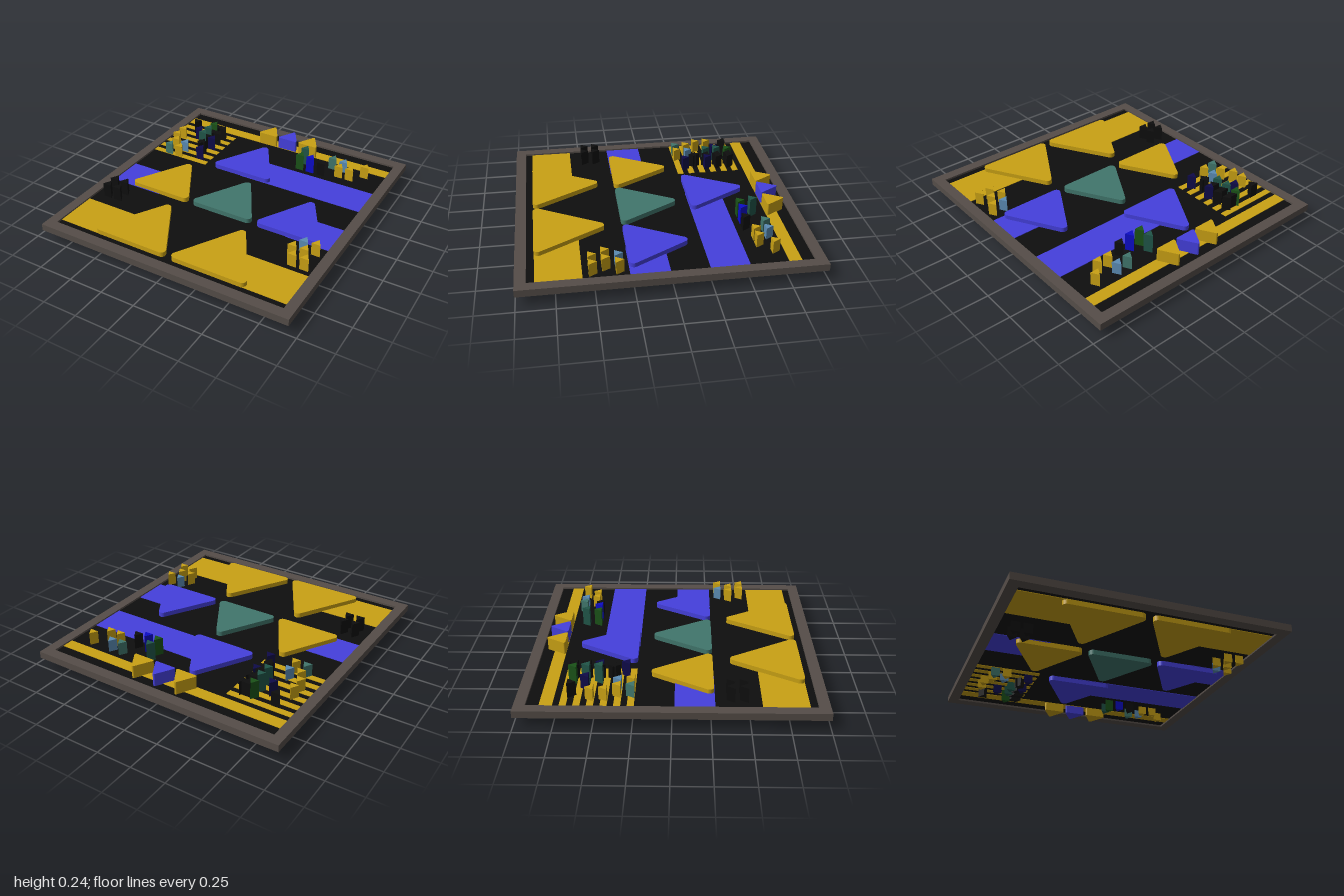
import * as THREE from 'three';

const COLORS = {
  frame: 0x554d48, black: 0x0e0e0e, yellow: 0xc9a114, blue: 0x4540dd, teal: 0x41766c,
  sky: 0x5b8cb4, green: 0x1a5218, pine: 0x205548, royal: 0x0c0cc8, navy: 0x0e0a48,
};
const materials = {};
for (const [name, color] of Object.entries(COLORS)) {
  materials[name] = new THREE.MeshStandardMaterial({ color });
}

export function createModel() {
  const model = new THREE.Group();

  const add = (name, geometry, color) => {
    const mesh = new THREE.Mesh(geometry, materials[color]);
    mesh.name = name;
    model.add(mesh);
    return mesh;
  };

  // Flat block given by its edges
  const block = (name, color, x0, x1, y0, y1, z0, z1) => {
    add(name, new THREE.BoxGeometry(x1 - x0, y1 - y0, z1 - z0), color)
      .position.set((x0 + x1) / 2, (y0 + y1) / 2, (z0 + z1) / 2);
  };

  // Upright prism with a triangular plan; tip toward -z, or +z when flipped
  const prism = (name, color, x, z, width, height, radius, y0, y1, flip = false) => {
    const w = width / 2 - radius, h = height / 2 - radius;
    const shape = new THREE.Shape();
    if (radius > 0) {
      const corners = [[w, -h, -90], [0, h, 30], [-w, -h, 150]];
      for (const [cx, cy, start] of corners) {
        const a = THREE.MathUtils.degToRad(start);
        shape.absarc(cx, cy, radius, a, a + Math.PI * 2 / 3, false);
      }
    } else {
      shape.moveTo(-w, -h).lineTo(w, -h).lineTo(0, h);
    }
    shape.closePath();
    const geometry = new THREE.ExtrudeGeometry(shape, { depth: y1 - y0, bevelEnabled: false, curveSegments: 8 });
    geometry.rotateX(-Math.PI / 2);
    if (flip) geometry.rotateY(Math.PI);
    add(name, geometry, color).position.set(x, y0, z);
  };

  // Frame with a rectangular opening
  const outline = new THREE.Shape();
  outline.moveTo(-0.945, -1).lineTo(0.945, -1).lineTo(0.945, 1).lineTo(-0.945, 1).closePath();
  const opening = new THREE.Path();
  opening.moveTo(-0.873, -0.925).lineTo(-0.873, 0.925).lineTo(0.873, 0.925).lineTo(0.873, -0.925).closePath();
  outline.holes.push(opening);
  const frame = new THREE.ExtrudeGeometry(outline, { depth: 0.05, bevelEnabled: false });
  add('frame', frame.rotateX(-Math.PI / 2), 'frame').position.y = 0.071;

  // Recessed panel and the colour bands running through it
  block('panel', 'black', -0.873, 0.873, 0.085, 0.107, -0.925, 0.925);
  const bands = [
    ['yellow', -0.873, 0.873, -0.842, -0.757],
    ['blue', -0.09, 0.873, -0.5, -0.24],
    ['blue', -0.873, -0.475, 0.016, 0.275],
    ['blue', 0.555, 0.873, 0.016, 0.275],
    ['yellow', -0.873, -0.305, 0.575, 0.875],
    ['yellow', 0.3, 0.873, 0.575, 0.875],
  ];
  for (const [color, x0, x1, z0, z1] of bands) block('band', color, x0, x1, 0.081, 0.111, z0, z1);

  // Striped field
  for (let i = 0; i < 6; i++) {
    const z = -0.715 + i * 0.086;
    block('stripe', 'yellow', -0.873, -0.402, 0.081, 0.111, z, z + 0.045);
  }

  // Large rounded triangles
  const large = [['blue', -0.09, -0.45], ['yellow', -0.476, 0.065], ['teal', 0.04, 0.065], ['blue', 0.556, 0.065]];
  for (const [color, x, z] of large) prism('largeTriangle', color, x, z, 0.465, 0.413, 0.03, 0.05, 0.142);
  for (const x of [-0.303, 0.3]) prism('largestTriangle', 'yellow', x, 0.635, 0.55, 0.483, 0.03, 0.05, 0.142);

  // Row of medium triangles on the rear band
  [['yellow', -0.13], ['blue', 0.04], ['yellow', 0.213]].forEach(([color, x]) =>
    prism('mediumTriangle', color, x, -0.825, 0.155, 0.135, 0.01, 0.02, 0.2));

  // Bottom and top of the small prisms by colour
  const heights = {
    black: [0.015, 0.213], yellow: [0.025, 0.2], teal: [0.02, 0.2], sky: [0.03, 0.193],
    green: [0, 0.233], pine: [0.02, 0.243], royal: [0.02, 0.235], navy: [0.02, 0.213],
  };
  const small = (color, x, z, flip) =>
    prism('smallTriangle', color, x, z, 0.064, 0.055, 0, ...heights[color], flip);

  // Small clusters: colour followed by x, z pairs
  const clusters = [
    // Rear right
    ['pine', [0.256, -0.66]], ['green', [0.256, -0.572]], ['royal', [0.341, -0.572]],
    ['black', [0.43, -0.572]], ['teal', [0.47, -0.7]], ['sky', [0.557, -0.7]],
    ['yellow', [0.557, -0.613], [0.642, -0.613], [0.728, -0.7]],
    // Front right
    ['sky', [0.728, 0.335]],
    ['yellow', [0.815, 0.335], [0.685, 0.42], [0.771, 0.42], [0.728, 0.507], [0.815, 0.507]],
    // Front left
    ['black', [-0.775, 0.375], [-0.69, 0.375], [-0.775, 0.46], [-0.69, 0.46]],
    // Striped field
    ['yellow', [-0.776, -0.53], [-0.776, -0.443], [-0.734, -0.358], [-0.648, -0.27]],
    ['sky', [-0.648, -0.358]], ['teal', [-0.734, -0.27]],
    ['green', [-0.562, -0.66]], ['pine', [-0.562, -0.572], [-0.562, -0.487]],
    ['navy', [-0.648, -0.572], [-0.478, -0.487], [-0.478, -0.312]],
    ['black', [-0.478, -0.66], [-0.478, -0.572], [-0.52, -0.4]],
  ];
  for (const [color, ...spots] of clusters) {
    for (const [x, z] of spots) small(color, x, z);
  }

  // Reversed dark triangles between the columns of the striped field
  for (const z of [-0.645, -0.558, -0.472, -0.37]) small('black', -0.52, z, true);
  small('black', -0.734, -0.645, true);

  return model;
}
